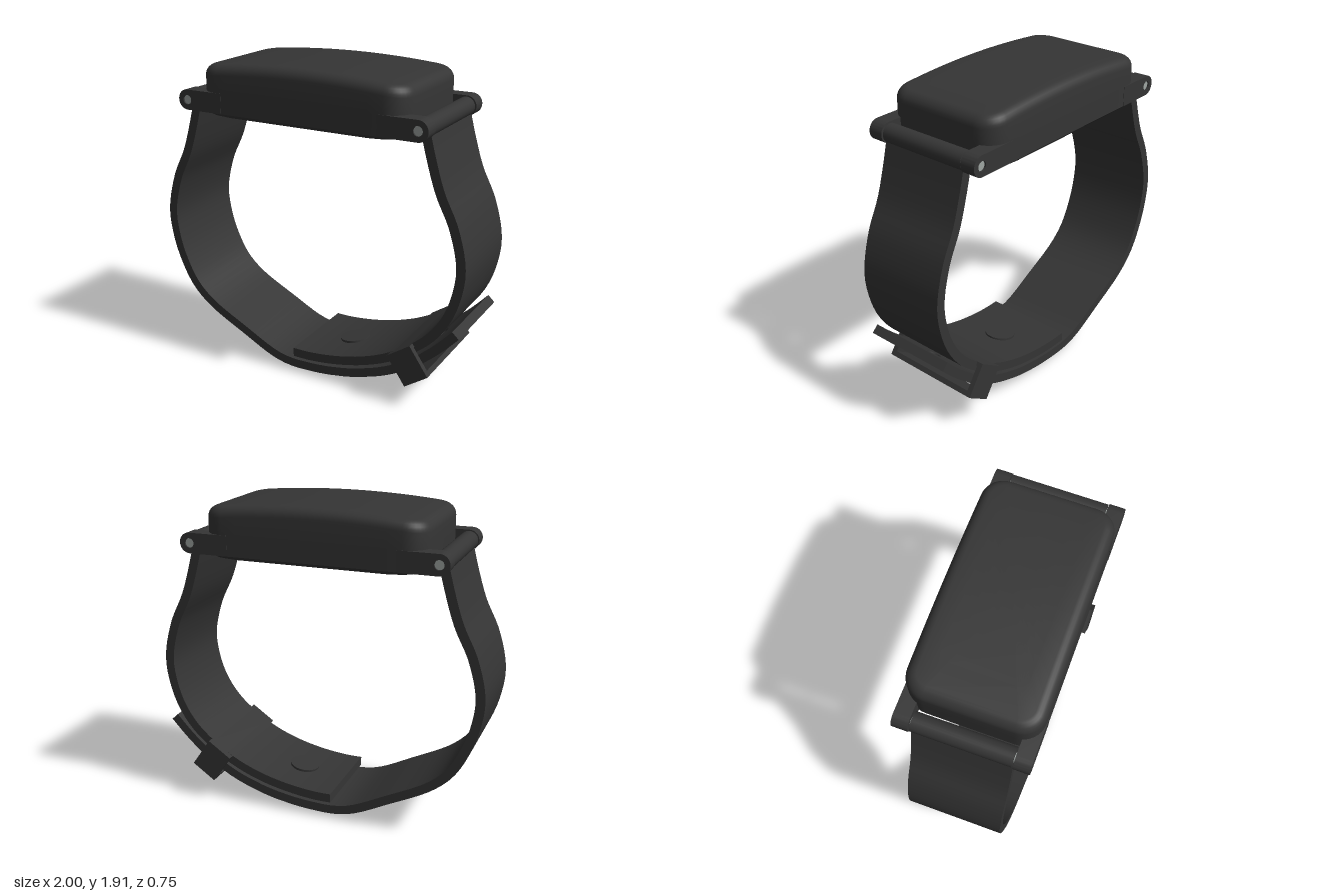
import * as THREE from 'three';
import { mergeGeometries, toCreasedNormals } from 'three/addons/utils/BufferGeometryUtils.js';

const dark = new THREE.MeshStandardMaterial({ color: 0x353535 });
dark.name = 'charcoal';
const light = new THREE.MeshStandardMaterial({ color: 0x9ea5a2 });
light.name = 'light grey metal';

const STRAP_W = 0.56, STRAP_T = 0.055, PIN_X = 0.737, PIN_Y = 1.66;

function add(parent, name, geometry, material, x = 0, y = 0, z = 0) {
  const mesh = new THREE.Mesh(geometry, material);
  mesh.name = name;
  mesh.position.set(x, y, z);
  parent.add(mesh);
  return mesh;
}

function extrude(shape, depth, curveSegments = 12) {
  return new THREE.ExtrudeGeometry(shape, { depth, bevelEnabled: false, curveSegments });
}

function rectShape(x0, y0, x1, y1) {
  return new THREE.Shape([[x0, y0], [x1, y0], [x1, y1], [x0, y1]].map(p => new THREE.Vector2(...p)));
}

function circleHole(x, y, r) {
  return new THREE.Path().absarc(x, y, r, 0, Math.PI * 2, true);
}

function roundedRect(hw, hh, r) {
  const s = new THREE.Shape();
  s.absarc(hw - r, hh - r, r, 0, Math.PI / 2);
  s.absarc(-hw + r, hh - r, r, Math.PI / 2, Math.PI);
  s.absarc(-hw + r, -hh + r, r, Math.PI, Math.PI * 1.5);
  s.absarc(hw - r, -hh + r, r, Math.PI * 1.5, Math.PI * 2);
  s.closePath();
  return s;
}

// One closed rounded-rectangle loop, with extra points on the long sides
function caseLoop(inset) {
  const hw = 0.66 - inset, hd = 0.375 - inset, r = 0.13 - inset;
  const pts = [];
  for (let c = 0; c < 4; c++) {
    const sx = c === 0 || c === 3 ? 1 : -1, sz = c < 2 ? 1 : -1;
    for (let i = 0; i <= 8; i++) {
      const a = (c + i / 8) * Math.PI / 2;
      pts.push([sx * (hw - r) + r * Math.cos(a), sz * (hd - r) + r * Math.sin(a)]);
    }
    if (c % 2 === 0) {
      for (let i = 1; i < 12; i++) pts.push([sx * (hw - r) * (1 - i / 6), sz * hd]);
    }
  }
  return pts;
}

// Case: stacked loops, crowned along x on top and tapered at the ends below
function caseGeometry() {
  const levels = [[1.58, 0.02, 0], [1.58, 0.02, 0.5], [1.58, 0.02, 0.8], [1.58, 0.02, 1], [1.6, 0, 1], [1.72, 0, 1]];
  for (let i = 0; i <= 6; i++) {
    const a = i / 6 * Math.PI / 2;
    levels.push([1.845 + 0.06 * Math.sin(a), 0.06 * (1 - Math.cos(a)), 1]);
  }
  levels.push([1.905, 0.06, 0.75], [1.905, 0.06, 0.5], [1.905, 0.06, 0.25], [1.905, 0.06, 0]);
  const pos = [], idx = [];
  let n = 0;
  for (const [y, inset, scale] of levels) {
    const loop = caseLoop(inset);
    n = loop.length;
    for (const [px, pz] of loop) {
      const x = px * scale;
      const shift = y > 1.8 ? -0.032 * (x / 0.6) ** 2
        : y < 1.59 ? 0.015 * Math.max(0, (Math.abs(x) - 0.48) / 0.16) : 0;
      pos.push(x, y + shift, pz * scale);
    }
  }
  for (let l = 0; l < levels.length - 1; l++) {
    for (let i = 0; i < n; i++) {
      const a = l * n + i, b = l * n + (i + 1) % n;
      idx.push(a, a + n, b, b, a + n, b + n);
    }
  }
  const g = new THREE.BufferGeometry();
  g.setAttribute('position', new THREE.Float32BufferAttribute(pos, 3));
  g.setIndex(idx);
  return toCreasedNormals(g, 0.6);
}

function strapCurve(points) {
  return new THREE.CatmullRomCurve3(points.map(([x, y]) => new THREE.Vector3(x, y, 0)));
}

// Strap: flat slabs (some punched with a hole) bent along the curve
function strapGeometry(curve, holes = []) {
  const L = curve.getLength(), half = 0.05;
  const cuts = [0];
  const stops = [...holes].sort((a, b) => a - b).flatMap(h => [h - half, h + half]);
  stops.push(L);
  stops.forEach((stop, k) => {
    const from = cuts[cuts.length - 1];
    const steps = k % 2 ? 1 : Math.ceil((stop - from) / 0.05);
    for (let i = 1; i <= steps; i++) cuts.push(from + (stop - from) * i / steps);
  });
  const slabs = [];
  for (let i = 0; i < cuts.length - 1; i++) {
    const a = cuts[i], b = cuts[i + 1];
    const shape = rectShape(a, -STRAP_W / 2, b, STRAP_W / 2);
    const hole = holes.find(h => h > a && h < b);
    if (hole !== undefined) shape.holes.push(circleHole(hole, 0, 0.043));
    slabs.push(extrude(shape, STRAP_T, 10));
  }
  const p = mergeGeometries(slabs).getAttribute('position');
  const out = [];
  for (let t = 0; t < p.count; t += 3) {
    const u = p.getX(t);
    // Drop the hidden walls between neighbouring slabs
    const wall = [1, 2].every(k => Math.abs(p.getX(t + k) - u) < 1e-5);
    if (wall && u > 1e-4 && u < L - 1e-4) continue;
    for (let k = 0; k < 3; k++) {
      const s = THREE.MathUtils.clamp(p.getX(t + k) / L, 0, 1);
      const c = curve.getPointAt(s), d = curve.getTangentAt(s), h = p.getZ(t + k) - STRAP_T / 2;
      out.push(c.x + d.y * h, c.y - d.x * h, p.getY(t + k));
    }
  }
  const g = new THREE.BufferGeometry();
  g.setAttribute('position', new THREE.Float32BufferAttribute(out, 3));
  return toCreasedNormals(g, 0.5);
}

export function createModel() {
  const model = new THREE.Group();
  model.name = 'wristDevice';
  add(model, 'case', caseGeometry(), dark);

  // Lugs, hinge barrels and pins at both ends
  for (const side of [-1, 1]) {
    const lug = new THREE.Shape();
    lug.moveTo(0.5, 1.6);
    lug.lineTo(PIN_X, 1.6);
    lug.absarc(PIN_X, PIN_Y, 0.06, -Math.PI / 2, Math.PI / 2);
    lug.lineTo(0.5, 1.72);
    lug.closePath();
    lug.holes.push(circleHole(PIN_X, PIN_Y, 0.028));
    for (const z of [-0.377, 0.285]) {
      const g = toCreasedNormals(extrude(lug, 0.092), 0.6);
      g.translate(0, 0, z);
      if (side < 0) g.rotateY(Math.PI).translate(0, 0, z < 0 ? 2 * z + 0.092 : 2 * z + 0.092);
      add(model, 'lug', g, dark);
    }
    const barrel = new THREE.CylinderGeometry(0.055, 0.055, 0.556, 24).rotateX(Math.PI / 2);
    add(model, 'hingeBarrel', barrel, dark, side * PIN_X, PIN_Y);
    const pin = new THREE.CylinderGeometry(0.028, 0.028, 0.735, 16).rotateX(Math.PI / 2);
    add(model, 'hingePin', pin, light, side * PIN_X, PIN_Y);
  }

  // Underside: raised sensor window and round contacts
  const flat = (shape, depth) => extrude(shape, depth).rotateX(Math.PI / 2);
  add(model, 'sensorHousing', flat(roundedRect(0.172, 0.125, 0.04), 0.012), dark, 0, 1.583);
  add(model, 'sensorWindow', flat(rectShape(-0.1, -0.066, 0.1, 0.066), 0.006), light, 0, 1.574);
  for (const z of [-1, 1]) {
    for (const [x, dz, r] of [[0.37, 0.28, 0.046], [-0.54, 0.28, 0.046], [0.256, 0.093, 0.028]]) {
      const y = x < -0.5 ? 1.585 : 1.58;
      add(model, 'contact', new THREE.CylinderGeometry(r, r, 0.009, 20), light, x, y, z * dz);
    }
  }

  // Strap halves: the punched one runs outside, the stud one inside
  const upper = [[0.735, 1.65], [0.78, 1.48], [0.835, 1.31], [0.92, 1.13], [0.972, 0.91], [0.956, 0.75]];
  const outer = strapCurve([...upper.map(([x, y]) => [-x, y]),
    [-0.91, 0.6], [-0.824, 0.44], [-0.706, 0.33], [-0.444, 0.19], [-0.23, 0.087], [-0.12, 0.062], [0.01, 0.06],
    [0.2, 0.078], [0.385, 0.12], [0.57, 0.192], [0.73, 0.29], [0.866, 0.41], [0.96, 0.51]]);
  const inner = strapCurve([...upper, [0.905, 0.6], [0.816, 0.466], [0.69, 0.355], [0.54, 0.262],
    [0.37, 0.195], [0.19, 0.153], [0.01, 0.133], [-0.09, 0.133]]);
  const L = outer.getLength();
  const holes = [0, 1, 2, 3, 4].map(i => L - 0.24 - 0.215 * i);
  add(model, 'punchedStrap', strapGeometry(outer, holes), dark);
  add(model, 'studStrap', strapGeometry(inner), dark);

  // Stud pressed through a strap hole
  const stud = new THREE.Group();
  stud.name = 'stud';
  const dir = outer.getTangentAt(holes[3] / L);
  stud.position.copy(outer.getPointAt(holes[3] / L));
  stud.rotation.z = Math.atan2(dir.y, dir.x);
  const disc = (r, h) => new THREE.CylinderGeometry(r, r, h, 28);
  add(stud, 'studBase', disc(0.092, 0.022), dark, 0, 0.106);
  add(stud, 'studStem', disc(0.04, 0.15), dark, 0, 0.03);
  add(stud, 'studHead', disc(0.065, 0.03), dark, 0, -0.055);
  model.add(stud);

  // Keeper loop around both strap layers
  const ring = rectShape(-0.32, -0.103, 0.32, 0.103);
  ring.holes.push(rectShape(-0.288, -0.072, 0.288, 0.08));
  const keeper = extrude(ring, 0.17).translate(0, 0, -0.085).rotateY(Math.PI / 2);
  add(model, 'keeperLoop', keeper, dark, 0.692, 0.266).rotation.z = 0.6;
  return model;
}
